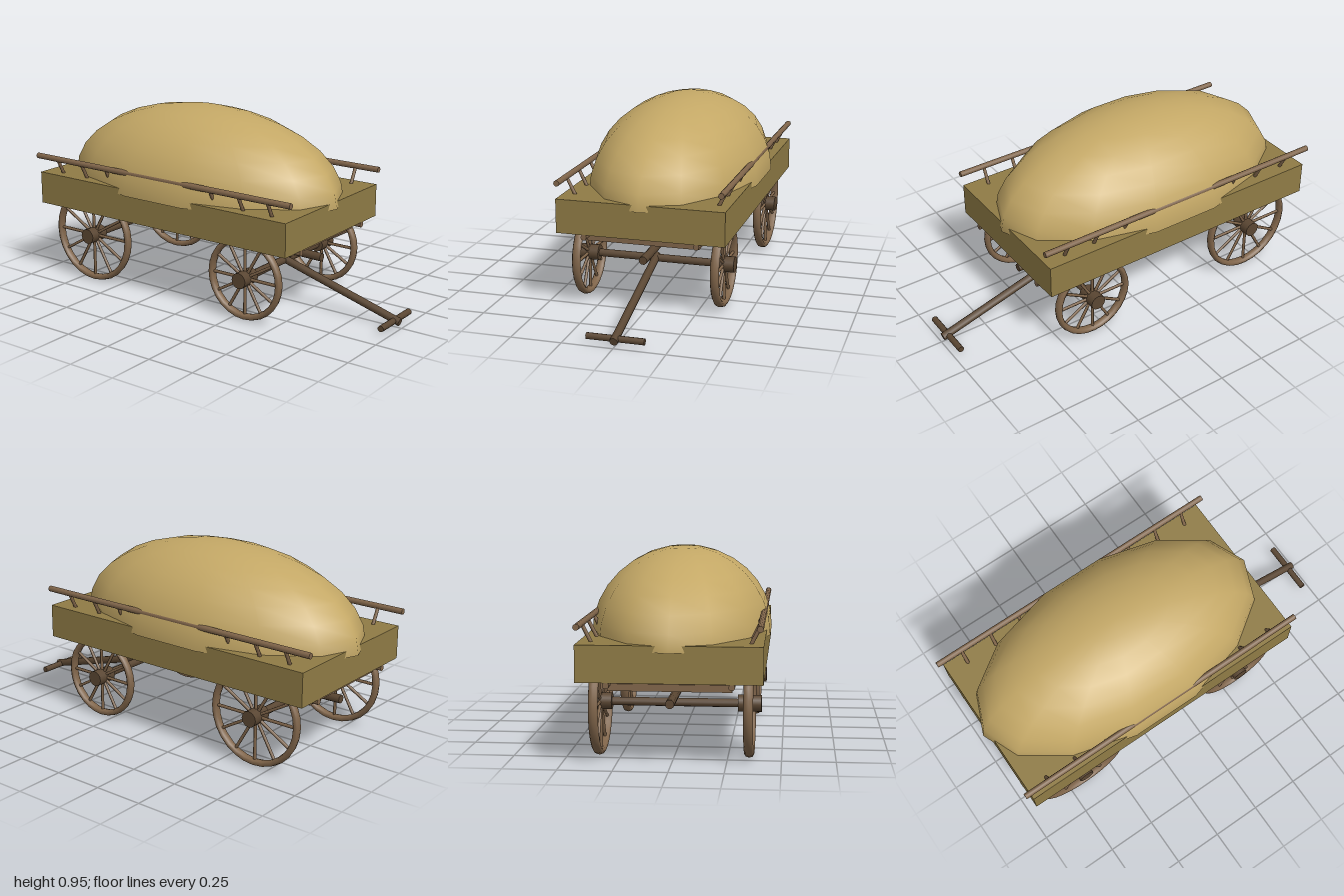
import * as THREE from 'three';

const mat = (color, flat = false) => {
  const m = new THREE.MeshStandardMaterial({ flatShading: flat });
  m.color.set(color);
  return m;
};
const bedWood = mat(0x8f7b45, true);
const hay = mat(0xc4a866);
const hayUnder = mat(0xc4a866);
const lightWood = mat(0x80654a);
const darkWood = mat(0x5a4632);

function add(parent, name, geometry, material, x = 0, y = 0, z = 0) {
  const mesh = new THREE.Mesh(geometry, material);
  mesh.name = name;
  mesh.position.set(x, y, z);
  parent.add(mesh);
  return mesh;
}

// Round bar between two points
function bar(parent, name, from, to, radius, material, sides = 10) {
  const a = new THREE.Vector3(...from), b = new THREE.Vector3(...to);
  const dir = b.clone().sub(a);
  const mesh = add(parent, name, new THREE.CylinderGeometry(radius, radius, dir.length(), sides), material);
  mesh.position.copy(a).add(b).multiplyScalar(0.5);
  mesh.quaternion.setFromUnitVectors(new THREE.Vector3(0, 1, 0), dir.normalize());
  return mesh;
}

// Spoked wheel standing in the x-y plane
function wheel(name, radius) {
  const g = new THREE.Group();
  g.name = name;
  const rim = add(g, 'rim', new THREE.TorusGeometry(radius - 0.016, 0.016, 8, 28), lightWood);
  rim.scale.z = 1.4;
  bar(g, 'hub', [0, 0, -0.055], [0, 0, 0.055], 0.04, darkWood, 12);
  for (let i = 0; i < 12; i++) {
    const a = (i / 12) * Math.PI * 2, r = radius - 0.02;
    bar(g, 'spoke', [0, 0, 0], [Math.cos(a) * r, Math.sin(a) * r, 0], 0.008, lightWood, 6);
  }
  return g;
}

export function createModel() {
  const cart = new THREE.Group();
  cart.name = 'hayCart';

  // Bed and the frame beneath it
  add(cart, 'bed', new THREE.BoxGeometry(1.57, 0.17, 0.84), bedWood, -0.185, 0.48, 0);
  add(cart, 'underFloor', new THREE.BoxGeometry(1.46, 0.033, 0.56), mat(0x80654a, true), -0.19, 0.368, 0);

  // Heaped load
  const load = new THREE.Group();
  load.name = 'load';
  load.position.set(-0.19, 0.535, 0);
  load.scale.set(0.81, 0.42, 0.447);
  add(load, 'loadMound', new THREE.SphereGeometry(1, 14, 8, 0, Math.PI * 2, 0, Math.PI / 2), hay);
  add(load, 'loadUnderside', new THREE.CircleGeometry(1, 14).rotateX(Math.PI / 2), hayUnder);
  cart.add(load);

  // Side rails on leaning stakes, and long bed runners
  for (const s of [-1, 1]) {
    bar(cart, 'sideRail', [-1, 0.648, s * 0.405], [0.62, 0.648, s * 0.405], 0.015, lightWood);
    for (let i = 0; i < 9; i++) {
      const x = -0.86 + i * 0.168;
      bar(cart, 'railStake', [x, 0.54, s * 0.35], [x, 0.645, s * 0.403], 0.009, lightWood, 8);
    }
    bar(cart, 'bedRunner', [-0.97, 0.383, s * 0.28], [0.6, 0.383, s * 0.28], 0.015, lightWood);
  }

  // Axles and wheels
  for (const [name, x, r] of [['rear', -0.665, 0.252], ['front', 0.32, 0.215]]) {
    const y = r + 0.003;
    bar(cart, name + 'Axle', [x, y, -0.38], [x, y, 0.38], 0.02, darkWood);
    for (const s of [-1, 1]) {
      const w = wheel(name + 'Wheel', r);
      w.position.set(x, y, s * 0.35);
      cart.add(w);
    }
  }

  // Centre pole, drawbar and its cross handle
  bar(cart, 'centrePole', [-0.915, 0.293, 0], [0.54, 0.272, 0], 0.021, darkWood);
  bar(cart, 'drawbar', [0.3, 0.225, 0], [0.99, 0.032, 0], 0.02, darkWood);
  bar(cart, 'drawbarHandle', [0.962, 0.037, -0.14], [0.962, 0.037, 0.14], 0.016, darkWood);

  return cart;
}
